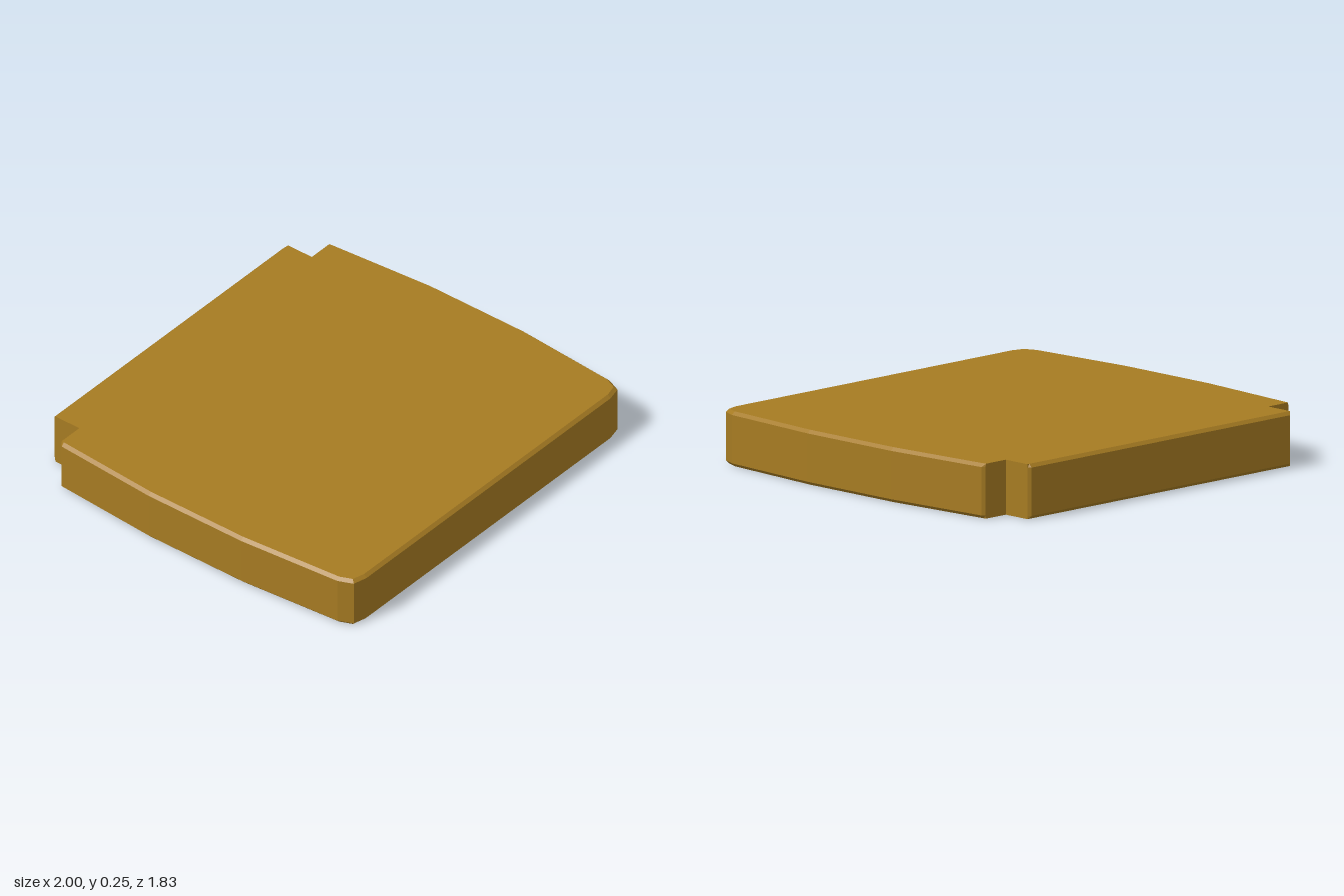
import * as THREE from 'three';

// Half outline from front to back: outer x, z, then x, z at the top and bottom faces
const HALF = [
  [0.86, 0.917, 0.86, 0.902],
  [0.93, 0.9, 0.92, 0.887],
  [0.96, 0.83, 0.945, 0.828],
  [1, 0.31, 0.985, 0.31],
  [1, -0.22, 0.985, -0.22],
  [0.96, -0.752, 0.945, -0.752],
  [0.947, -0.765, 0.943, -0.765],
  [0.82, -0.765, 0.82, -0.765],
  [0.82, -0.904, 0.82, -0.902],
  [0.808, -0.917, 0.808, -0.902],
];
const HEIGHT = 0.25;
const BEVEL = 0.015;

// Slab with chamfered rims, faceted
function slabGeometry() {
  const mirrored = HALF.map(([x, z, u, w]) => [-x, z, -u, w]).reverse();
  const outline = [...HALF, ...mirrored];
  const ring = (y, k) => outline.map((p) => new THREE.Vector3(p[k], y, p[k + 1]));
  const rings = [ring(0, 2), ring(BEVEL, 0), ring(HEIGHT - BEVEL, 0), ring(HEIGHT, 2)];
  const points = [];
  const face = (a, b, c) => {
    if (new THREE.Triangle(a, b, c).getArea() > 1e-8) points.push(a, b, c);
  };

  // Walls and chamfers
  for (let r = 0; r < 3; r++) {
    const low = rings[r], high = rings[r + 1];
    for (let i = 0; i < outline.length; i++) {
      const j = (i + 1) % outline.length;
      face(low[i], low[j], high[j]);
      face(low[i], high[j], high[i]);
    }
  }

  // Top and bottom
  const flat = outline.map((p) => new THREE.Vector2(p[2], -p[3]));
  for (const [a, b, c] of THREE.ShapeUtils.triangulateShape(flat, [])) {
    face(rings[3][a], rings[3][b], rings[3][c]);
    face(rings[0][c], rings[0][b], rings[0][a]);
  }

  const geometry = new THREE.BufferGeometry().setFromPoints(points);
  geometry.computeVertexNormals();
  return geometry;
}

export function createModel() {
  const group = new THREE.Group();
  group.name = 'seatCushion';
  const ochre = new THREE.MeshStandardMaterial({ color: 0xa67b22 });
  ochre.name = 'ochre';
  const cushion = new THREE.Mesh(slabGeometry(), ochre);
  cushion.name = 'cushion';
  group.add(cushion);
  return group;
}
